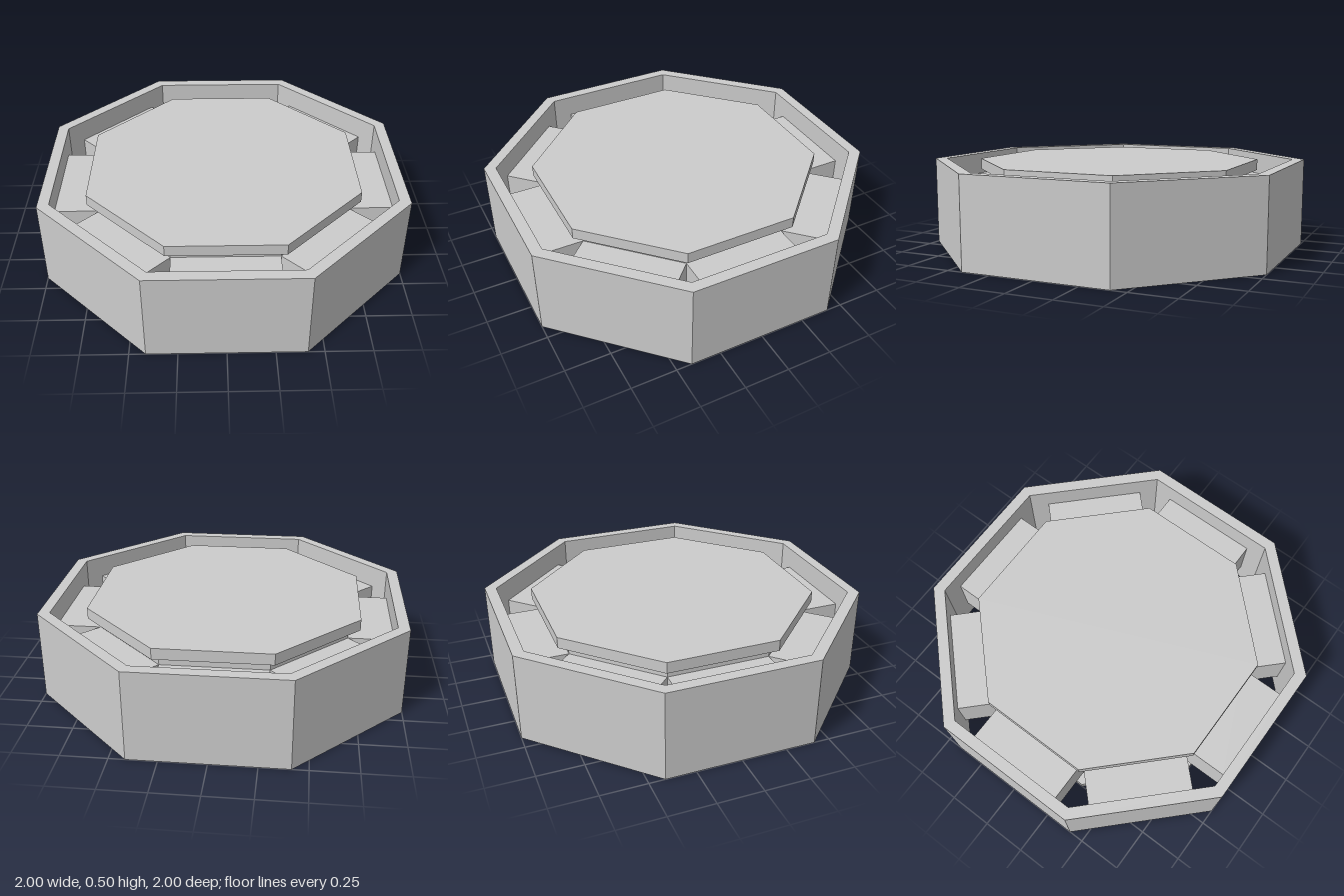
import * as THREE from 'three';

const SIDES = 8;
const HEIGHT = 0.5;
const PLATE = 0.0625;      // thickness of the ring wall and of both plates
const CORE = 0.6875;       // distance from axis to a flat side of the core
const HALF_TURN = Math.PI / SIDES;

const material = new THREE.MeshStandardMaterial({ color: 0xcccccc, flatShading: true });

function addMesh(parent, name, geometry) {
  const mesh = new THREE.Mesh(geometry, material);
  mesh.name = name;
  parent.add(mesh);
  return mesh;
}

// Corners of an octagon given the distance from its centre to a flat side
function octagon(apothem) {
  const r = apothem / Math.cos(HALF_TURN);
  return Array.from({ length: SIDES }, (_, i) => {
    const a = HALF_TURN + (i * 2 * Math.PI) / SIDES;
    return new THREE.Vector2(r * Math.cos(a), r * Math.sin(a));
  });
}

// Upright octagonal prism from y0 to y1
function prism(apothem, y0, y1, holeApothem) {
  const shape = new THREE.Shape(octagon(apothem));
  if (holeApothem) shape.holes.push(new THREE.Path(octagon(holeApothem)));
  const geometry = new THREE.ExtrudeGeometry(shape, { depth: y1 - y0, bevelEnabled: false });
  return geometry.rotateX(-Math.PI / 2).translate(0, y0, 0);
}

export function createModel() {
  const model = new THREE.Group();
  model.name = 'octagonalWheel';

  // Outer ring wall
  addMesh(model, 'outerRing', prism(1, 0, HEIGHT, 1 - PLATE));

  // Hub: recessed core between two overhanging plates
  addMesh(model, 'core', prism(CORE, PLATE, HEIGHT - PLATE));
  addMesh(model, 'bottomPlate', prism(0.75, 0, PLATE));
  addMesh(model, 'topPlate', prism(0.75, HEIGHT - PLATE, HEIGHT));

  // Wide spokes joining each core side to the ring
  const spokes = new THREE.Group();
  spokes.name = 'spokes';
  model.add(spokes);
  const length = 1 - PLATE - CORE;
  const width = 2 * CORE * Math.tan(HALF_TURN);
  const spoke = new THREE.BoxGeometry(width, HEIGHT / 2, length)
    .translate(0, HEIGHT / 2, CORE + length / 2);
  for (let i = 0; i < SIDES; i++) {
    addMesh(spokes, 'spoke', spoke).rotation.y = (i * 2 * Math.PI) / SIDES;
  }
  return model;
}
